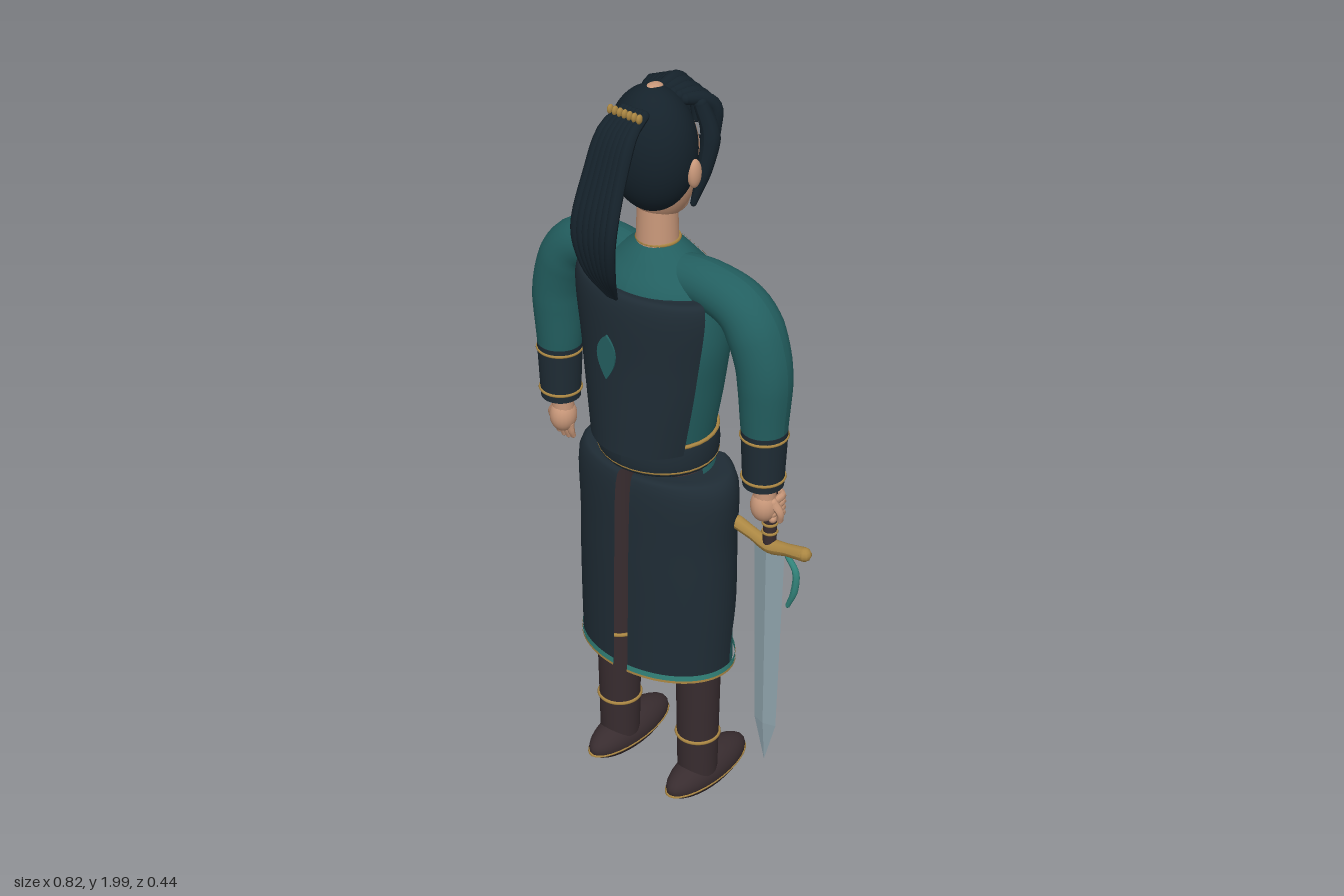
import * as THREE from 'three';

const mat = (name, color) => {
  const m = new THREE.MeshStandardMaterial({ color, side: THREE.DoubleSide });
  m.name = name;
  return m;
};

export function createModel() {
  const teal = mat('teal cloth', 0x235f60), hemTeal = mat('light teal trim', 0x33857c);
  const navy = mat('navy cloth', 0x1f2c35), hairMat = mat('dark hair', 0x15222b);
  const skin = mat('skin', 0xc9987a), brown = mat('brown leather', 0x382c2f);
  const gold = mat('gold', 0xab8743), cream = mat('cream sash', 0xc4b594);
  const steel = mat('steel', 0x8fa3ac), ink = mat('ink', 0x101418);

  const model = new THREE.Group();
  const body = new THREE.Group();
  body.name = 'figure';
  body.position.set(-0.03, 0, -0.03);
  model.add(body);

  const add = (name, geo, material, x = 0, y = 0, z = 0) => {
    const m = new THREE.Mesh(geo, material);
    m.name = name;
    m.position.set(x, y, z);
    body.add(m);
    return m;
  };
  const ball = (name, material, x, y, z, rx, ry, rz, seg = 20) => {
    const m = add(name, new THREE.SphereGeometry(1, seg, Math.ceil(seg * 0.7)), material, x, y, z);
    m.scale.set(rx, ry, rz);
    return m;
  };
  // Elliptical band; rows are [y, rx, rz], angles run from the back (0) to the front (PI)
  const loft = (name, material, rows, a0, a1, { grow = 0, t0 = 0, t1 = 1, n = 20, seg = 32 } = {}) => {
    const curve = new THREE.CatmullRomCurve3(rows.map(([y, rx, rz]) => new THREE.Vector3(rx, y, rz)));
    const at = (a, t) => (typeof a === 'function' ? a(t) : a);
    const pos = [], idx = [];
    for (let i = 0; i <= n; i++) {
      const t = t0 + (t1 - t0) * i / n, p = curve.getPoint(t);
      for (let j = 0; j <= seg; j++) {
        const a = at(a0, t) + (at(a1, t) - at(a0, t)) * j / seg;
        pos.push((p.x + grow) * Math.sin(a), p.y, (p.z + grow) * Math.cos(a));
        if (i < n && j < seg) {
          const k = i * (seg + 1) + j, l = k + seg + 1;
          idx.push(k, l, k + 1, k + 1, l, l + 1);
        }
      }
    }
    const g = new THREE.BufferGeometry();
    g.setAttribute('position', new THREE.Float32BufferAttribute(pos, 3));
    g.setIndex(idx);
    g.computeVertexNormals();
    return add(name, g, material);
  };
  // Tube whose radius follows a list of values, with rounded ends
  const taper = (name, material, pts, radii, n = 20, seg = 12) => {
    const curve = new THREE.CatmullRomCurve3(pts.map(p => new THREE.Vector3(...p)));
    const g = new THREE.TubeGeometry(curve, n, 1, seg);
    const p = g.attributes.position, v = new THREE.Vector3();
    for (let i = 0; i < p.count; i++) {
      const t = Math.floor(i / (seg + 1)) / n, c = curve.getPointAt(t);
      const f = t * (radii.length - 1), k = Math.min(Math.floor(f), radii.length - 2);
      v.fromBufferAttribute(p, i).sub(c).multiplyScalar(THREE.MathUtils.lerp(radii[k], radii[k + 1], f - k)).add(c);
      p.setXYZ(i, v.x, v.y, v.z);
    }
    g.computeVertexNormals();
    const m = add(name, g, material);
    const ends = [[pts[0], radii[0]], [pts[pts.length - 1], radii[radii.length - 1]]];
    for (const [e, r] of ends) ball(name + 'End', material, ...e, r, r, r, 10);
    return m;
  };
  const ring = (name, material, x, y, z, r, tube, sz = 1) => {
    const m = add(name, new THREE.TorusGeometry(r, tube, 6, 32), material, x, y, z);
    m.rotation.x = Math.PI / 2;
    m.scale.y = sz;
    return m;
  };
  const PI = Math.PI, TAU = PI * 2;

  // Tunic
  const torso = [[1.6, 0.05, 0.05], [1.56, 0.1, 0.085], [1.5, 0.16, 0.125],
    [1.38, 0.185, 0.152], [1.24, 0.17, 0.148], [1.06, 0.14, 0.12]];
  loft('tunic', teal, torso, 0, TAU, { n: 32, seg: 48 });
  ring('collar', gold, 0, 1.6, 0, 0.05, 0.005);
  const sash = t => PI + 0.33 + 1.04 * t - 1.57 * t * t;
  const sashRange = { t0: 0.22, n: 28, seg: 6 };
  loft('sash', cream, torso, t => sash(t) - 0.12, t => sash(t) + 0.12, { ...sashRange, grow: 0.005 });
  loft('sashEdge', gold, torso, t => sash(t) - 0.15, t => sash(t) - 0.12, { ...sashRange, grow: 0.005 });
  const piping = t => PI - 0.1 - 1.2 * t + 0.7 * t * t;
  loft('tunicPiping', gold, torso, piping, t => piping(t) + 0.03, { ...sashRange, t0: 0.05, grow: 0.004 });

  // Back vest with leaf emblem
  const vest = [[1.505, 0.17, 0.115], [1.5, 0.215, 0.148], [1.3, 0.196, 0.16], [1.085, 0.158, 0.172]];
  loft('backVest', navy, vest, -1.1, 1.1);
  const leaf = new THREE.Shape();
  leaf.moveTo(0, 0.06);
  leaf.quadraticCurveTo(0.055, 0.015, 0, -0.06);
  leaf.quadraticCurveTo(-0.055, 0.015, 0, 0.06);
  add('vestLeaf', new THREE.ExtrudeGeometry(leaf, { depth: 0.008, bevelEnabled: false }), teal, -0.026, 1.335, 0.155);

  // Belt
  loft('belt', navy, [[1.1, 0.13, 0.11], [1.1, 0.15, 0.136], [1.02, 0.15, 0.136], [1.02, 0.12, 0.1]], 0, TAU);
  for (const y of [1.098, 1.03]) ring('beltTrim', gold, 0, y, 0, 0.15, 0.005, 0.907);
  ball('buckle', gold, 0, 1.06, -0.137, 0.03, 0.026, 0.014);
  ball('buckleStone', hemTeal, 0, 1.06, -0.148, 0.015, 0.013, 0.008);
  ball('pendant', cream, 0, 0.985, -0.135, 0.01, 0.025, 0.008);

  for (const s of [1, -1]) {
    // Split skirt: teal front, dark side and back
    const front = [[1.03, 0.14, 0.128], [0.85, 0.185, 0.138], [0.65, 0.207, 0.143], [0.43, 0.21, 0.147]];
    loft('skirtFront', teal, front, s * 1.5, s * (PI - 0.1));
    const side = [[1.0, 0.13, 0.1], [0.992, 0.215, 0.132], [0.8, 0.221, 0.144], [0.6, 0.22, 0.148], [0.435, 0.215, 0.151]];
    loft('skirtSide', navy, side, s * 0.1, t => s * (2.45 - 0.75 * THREE.MathUtils.smoothstep(t, 0.35, 0.95)));
    loft('skirtHem', hemTeal, [[0.447, 0.217, 0.153], [0.428, 0.217, 0.153]], s * 0.1, s * (PI - 0.1), { n: 1 });
    loft('hemPiping', gold, [[0.433, 0.219, 0.155], [0.426, 0.219, 0.155]], s * 0.1, s * (PI - 0.1), { n: 1 });

    // Legs and shoes
    const lx = s * 0.13;
    add('boot', new THREE.CylinderGeometry(0.068, 0.052, 0.92, 24), brown, lx, 0.54, 0);
    ring('bootTop', gold, lx, 0.425, 0, 0.063, 0.005);
    ring('ankleBand', gold, lx, 0.197, 0, 0.0545, 0.005);
    ball('shoe', brown, lx, 0.06, -0.036, 0.057, 0.054, 0.15, 28);
    ring('shoeWelt', gold, lx, 0.05, -0.036, 0.0555, 0.003, 2.63);

    // Sleeves and cuffs
    taper('sleeve', teal, [[s * 0.05, 1.52, 0], [s * 0.16, 1.522, -0.003], [s * 0.255, 1.487, -0.005], [s * 0.308, 1.38, -0.005], [s * 0.317, 1.19, -0.005]],
      [0.055, 0.062, 0.07, 0.066, 0.056], 32, 24);
    const ax = s * 0.317;
    add('cuff', new THREE.CylinderGeometry(0.057, 0.05, 0.155, 24), navy, ax, 1.117, -0.005);
    for (const [y, r] of [[1.178, 0.056], [1.062, 0.0515]]) ring('cuffBand', gold, ax, y, -0.005, r, 0.004);

    // Hands: right grips the sword, left hangs open
    const hz = -0.012;
    add('wrist', new THREE.CylinderGeometry(0.026, 0.028, 0.05, 14), skin, ax, 1.025, hz);
    ball('palm', skin, ax, 0.975, hz, 0.034, 0.045, 0.036);
    for (let i = 0; i < 4; i++) {
      const x = ax + (i - 1.5) * 0.015;
      if (s < 0) taper('finger', skin, [[x, 0.955, hz], [x, 0.93, hz - 0.004], [x, 0.908 + 0.005 * Math.abs(i - 1.5), hz - 0.01]], [0.01, 0.009, 0.007], 8, 8);
      else taper('finger', skin, [[ax + 0.025, 0.99 - i * 0.016, hz], [ax + 0.02, 0.99 - i * 0.016, hz - 0.045], [ax - 0.015, 0.99 - i * 0.016, hz - 0.045]], [0.01, 0.01, 0.008], 8, 8);
    }
    taper('thumb', skin, [[ax + s * 0.025, 0.99, hz], [ax + s * 0.043, 0.965, hz - 0.005], [ax + s * 0.04, 0.94, hz - 0.01]], [0.012, 0.01, 0.008], 8, 8);
  }

  // Sword
  const sx = 0.318, sz = -0.035;
  const bladePart = (name, top, bottom, yTop, yBottom) => {
    const g = new THREE.CylinderGeometry(top, bottom, yTop - yBottom, 4).toNonIndexed();
    g.computeVertexNormals();
    add(name, g, steel, sx, (yTop + yBottom) / 2, sz).scale.z = 0.3;
  };
  bladePart('blade', 0.046, 0.033, 0.85, 0.3);
  bladePart('bladeTip', 0.033, 0.0005, 0.3, 0.18);
  add('grip', new THREE.CylinderGeometry(0.017, 0.017, 0.19, 14), brown, sx, 0.945, sz);
  for (const y of [0.885, 0.91, 0.935]) ring('gripRing', gold, sx, y, sz, 0.017, 0.004);
  ball('pommel', gold, sx, 1.035, sz, 0.022, 0.018, 0.022);
  taper('guard', gold, [[sx - 0.098, 0.868, sz], [sx - 0.05, 0.855, sz], [sx, 0.843, sz], [sx + 0.05, 0.852, sz], [sx + 0.105, 0.862, sz]], [0.018, 0.016, 0.02, 0.016, 0.018]);
  taper('tassel', hemTeal, [[sx + 0.055, 0.835, sz], [sx + 0.08, 0.8, sz], [sx + 0.078, 0.74, sz], [sx + 0.06, 0.69, sz]], [0.007, 0.009, 0.009, 0.006]);

  // Neck and face
  add('neck', new THREE.CylinderGeometry(0.047, 0.052, 0.15, 24), skin, 0, 1.645, 0.003);
  ball('face', skin, 0, 1.8, -0.012, 0.086, 0.155, 0.094, 32);
  ball('chin', skin, 0, 1.69, -0.04, 0.05, 0.042, 0.046);
  ball('nose', skin, 0, 1.775, -0.103, 0.013, 0.03, 0.02);
  ball('mouth', brown, 0, 1.715, -0.091, 0.022, 0.005, 0.006);
  for (const s of [1, -1]) {
    ball('eye', cream, s * 0.036, 1.805, -0.096, 0.016, 0.008, 0.006);
    ball('iris', ink, s * 0.035, 1.805, -0.1, 0.007, 0.0075, 0.004);
    ball('upperLid', ink, s * 0.036, 1.813, -0.097, 0.018, 0.003, 0.005);
    ball('brow', hairMat, s * 0.037, 1.832, -0.096, 0.021, 0.004, 0.006).rotation.z = s * 0.12;
    ball('ear', skin, s * 0.11, 1.8, 0.005, 0.014, 0.036, 0.02);
    taper('sideLock', hairMat, [[s * 0.075, 1.94, -0.06], [s * 0.098, 1.87, -0.067], [s * 0.097, 1.79, -0.05], [s * 0.08, 1.7, -0.03]], [0.018, 0.024, 0.018, 0.008]);
  }

  // Hair, crown, fringe and ponytail
  ball('hairCap', hairMat, 0, 1.838, 0.022, 0.11, 0.155, 0.1, 36);
  ball('crown', skin, 0, 1.984, 0.015, 0.019, 0.012, 0.026);
  for (let i = 0; i < 9; i++) {
    const u = (i - 4) / 4, d = Math.abs(u);
    taper('fringeStrand', hairMat, [[u * 0.055, 1.978 - d * 0.022, -0.01 - d * 0.02], [u * 0.07, 1.98 - d * 0.03, -0.065],
      [u * 0.088, 1.935 - d * 0.01, -0.106 + d * 0.012], [u * 0.095, 1.87 - d * 0.01, -0.112 + d * 0.016]], [0.014, 0.018, 0.017, 0.009], 14, 10);
  }
  for (let i = 0; i < 7; i++) {
    const u = (i - 3) / 3;
    taper('ponytailStrand', hairMat, [[u * 0.03, 1.95, 0.085], [u * 0.038, 1.925, 0.14], [u * 0.044, 1.83, 0.19], [u * 0.05, 1.7, 0.232], [u * 0.036, 1.6, 0.215], [u * 0.012, 1.51, 0.168]],
      [0.012, 0.016, 0.015, 0.014, 0.012, 0.004], 22, 10);
    ball('hairTieBead', gold, u * 0.042, 1.958, 0.118, 0.006, 0.012, 0.01, 8);
  }
  return model;
}
